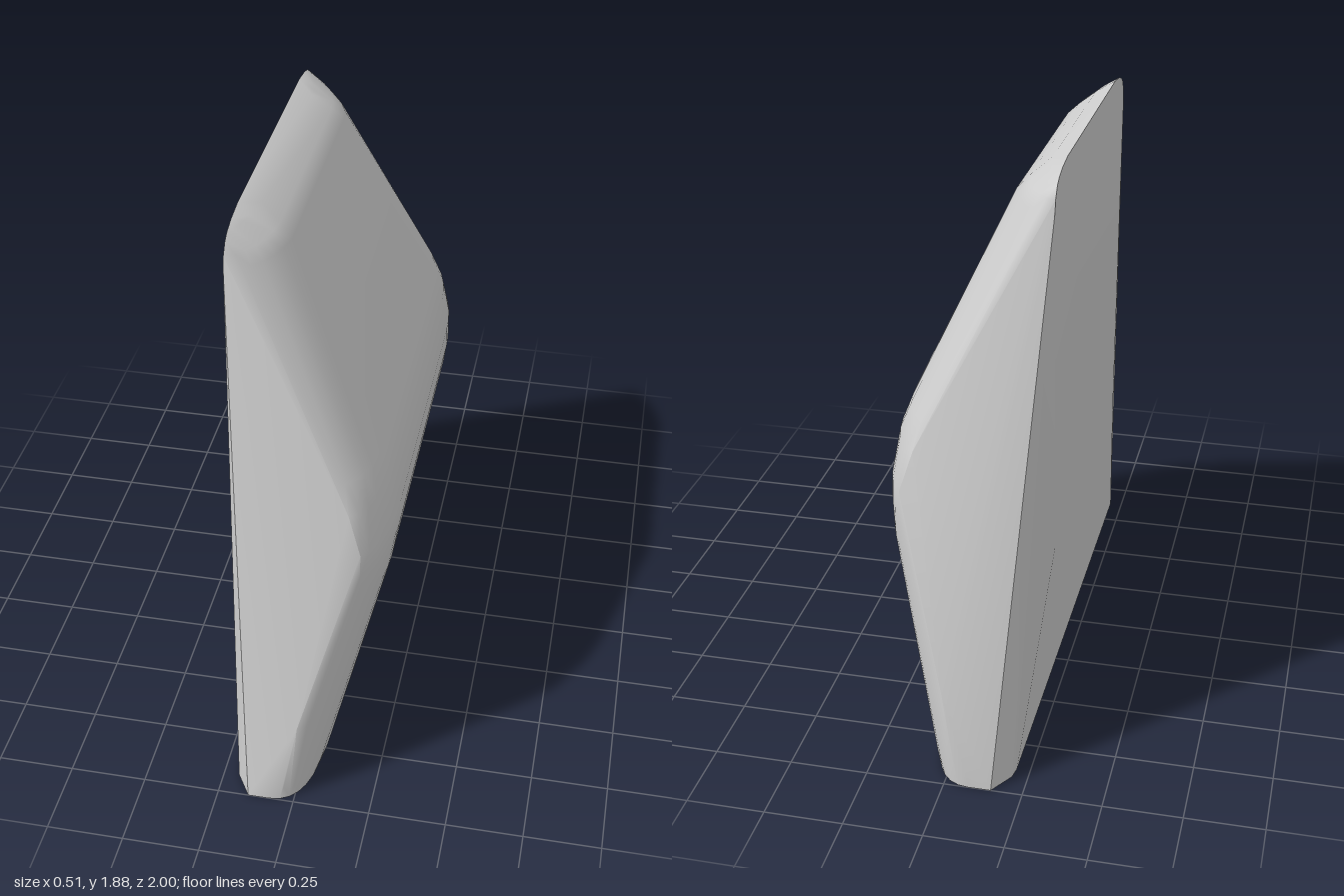
import * as THREE from 'three';
import { ConvexGeometry } from 'three/addons/geometries/ConvexGeometry.js';

// Area-weighted smooth normals that keep edges sharper than the crease angle
function creaseNormals(geometry, crease) {
  const pos = geometry.attributes.position;
  const corners = new Map();
  const faces = [];
  const key = (i) => [pos.getX(i), pos.getY(i), pos.getZ(i)].map((v) => v.toFixed(4)).join();
  for (let i = 0; i < pos.count; i += 3) {
    const [a, b, c] = [0, 1, 2].map((k) => new THREE.Vector3().fromBufferAttribute(pos, i + k));
    const area = b.sub(a).cross(c.sub(a));
    const face = { area, unit: area.clone().normalize() };
    faces.push(face);
    for (let k = 0; k < 3; k++) {
      const id = key(i + k);
      if (!corners.has(id)) corners.set(id, []);
      corners.get(id).push(face);
    }
  }
  const limit = Math.cos(crease);
  for (let i = 0; i < pos.count; i++) {
    const own = faces[Math.floor(i / 3)];
    const n = new THREE.Vector3();
    for (const f of corners.get(key(i))) if (f.unit.dot(own.unit) > limit) n.add(f.area);
    n.normalize();
    geometry.attributes.normal.setXYZ(i, n.x, n.y, n.z);
  }
  return geometry;
}

export function createModel() {
  const group = new THREE.Group();
  group.name = 'wedgeBlock';
  const grey = new THREE.MeshStandardMaterial({ color: 0xcccccc });
  grey.name = 'lightGrey';

  // Rounded corner at each height: y, then x,z of the start, control and end
  const sections = [
    [0, 0.05, 0.82, 0.03, 1.0, -0.08, 1.0],
    [0.05, 0.07, 0.78, 0.05, 0.99, -0.07, 0.997],
    [0.3, 0.135, 0.68, 0.1, 0.92, 0.01, 0.965],
    [0.72, 0.24, 0.56, 0.235, 0.73, 0.17, 0.8],
    [0.82, 0.255, 0.51, 0.25, 0.7, 0.18, 0.795],
    [0.9, 0.255, 0.5, 0.25, 0.7, 0.18, 0.787],
    [1.03, 0.235, 0.49, 0.225, 0.7, 0.14, 0.765],
    [1.12, 0.2, 0.48, 0.19, 0.7, 0.09, 0.745],
    [1.76, -0.1, 0.4, -0.13, 0.58, -0.257, 0.608],
    [1.8, -0.14, 0.38, -0.16, 0.56, -0.257, 0.6],
    [1.85, -0.2, 0.36, -0.22, 0.5, -0.257, 0.55],
    [1.875, -0.257, 0.35, -0.257, 0.38, -0.257, 0.42],
  ];
  // Flat back and the narrow bevel beside it: x, y, z
  const backPoints = [
    [-0.257, 0.62, 0.55], [-0.257, 1.835, 0.575], [-0.257, 1.865, 0.5],
    [-0.207, 0, 0.88], [-0.2, 0, 0.92], [-0.15, 0, 1.0],
  ];

  // Both halves are mirrored in z and wrapped by one convex skin
  const points = [];
  const steps = 6;
  for (const side of [1, -1]) {
    for (const [y, x0, z0, x1, z1, x2, z2] of sections) {
      for (let i = 0; i <= steps; i++) {
        const t = i / steps, a = (1 - t) ** 2, b = 2 * t * (1 - t), c = t * t;
        points.push(new THREE.Vector3(a * x0 + b * x1 + c * x2, y, side * (a * z0 + b * z1 + c * z2)));
      }
    }
    for (const [x, y, z] of backPoints) points.push(new THREE.Vector3(x, y, side * z));
  }

  const body = new THREE.Mesh(creaseNormals(new ConvexGeometry(points), 0.5), grey);
  body.name = 'body';
  group.add(body);
  return group;
}
